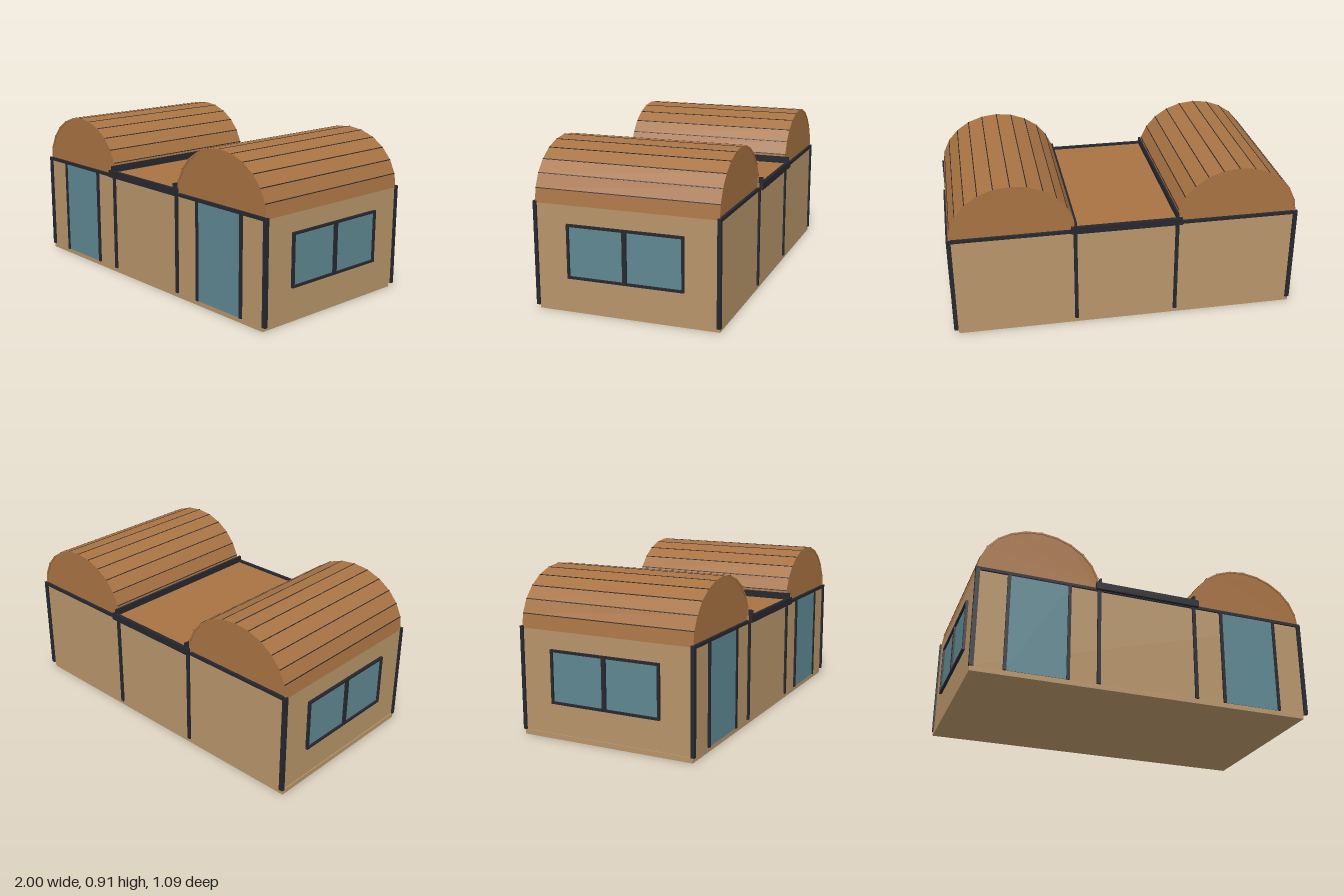
import * as THREE from 'three';

const mat = (name, color) => {
  const m = new THREE.MeshStandardMaterial({ color });
  m.name = name;
  return m;
};

export function createModel() {
  const wall = mat('tan wall', 0xb8956a);
  const wood = mat('brown roof wood', 0xa87343);
  const glass = mat('blue glass', 0x5f8892);
  const dark = mat('dark trim', 0x27282f);

  const model = new THREE.Group();
  model.name = 'vaultedCabin';

  // box given by its min and max corners
  const box = (name, material, [x0, y0, z0], [x1, y1, z1], parent = model) => {
    const mesh = new THREE.Mesh(new THREE.BoxGeometry(x1 - x0, y1 - y0, z1 - z0), material);
    mesh.position.set((x0 + x1) / 2, (y0 + y1) / 2, (z0 + z1) / 2);
    mesh.name = name;
    parent.add(mesh);
    return mesh;
  };

  // floor slab and walls
  box('floorSlab', wall, [-0.99, 0, -0.515], [0.968, 0.028, 0.515]);
  box('walls', wall, [-0.985, 0.028, -0.515], [0.985, 0.6, 0.515]);

  // posts and top beam on the front and the back
  for (const s of [1, -1]) {
    const z0 = s > 0 ? 0.505 : -0.525;
    const z1 = z0 + 0.02;
    for (const x of [-0.982, -0.29, 0.29, 0.982]) {
      const w = Math.abs(x) > 0.9 ? 0.012 : 0.01;
      box('post', dark, [x - w, 0.028, z0], [x + w, 0.6, z1]);
    }
    box('topBeam', dark, [-0.994, 0.592, z0], [0.994, 0.61, z1]);
  }

  // glass doors on the front
  for (const s of [1, -1]) {
    const door = new THREE.Group();
    door.name = 'door';
    model.add(door);
    const c = s * 0.635;
    box('doorGlass', glass, [c - 0.172, 0.028, 0.512], [c + 0.172, 0.592, 0.519], door);
    for (const x of [c - 0.172, c + 0.172]) {
      box('doorJamb', dark, [x - 0.009, 0.028, 0.51], [x + 0.009, 0.592, 0.525], door);
    }
  }

  // double windows in both end walls
  for (const s of [1, -1]) {
    const win = new THREE.Group();
    win.name = 'window';
    model.add(win);
    const span = (a, b) => (s > 0 ? [a, b] : [-b, -a]);
    const [g0, g1] = span(0.982, 0.989);
    const [f0, f1] = span(0.98, 1);
    box('windowGlass', glass, [g0, 0.205, -0.325], [g1, 0.495, 0.325], win);
    for (const y of [0.2, 0.487]) box('windowRail', dark, [f0, y, -0.33], [f1, y + 0.013, 0.33], win);
    for (const z of [-0.3235, 0, 0.3235]) {
      const w = z === 0 ? 0.012 : 0.0065;
      box('windowStile', dark, [f0, 0.2, z - w], [f1, 0.5, z + w], win);
    }
  }

  // barrel roofs: elliptical arc of twelve flat planks
  const arc = (rx, ry) => Array.from({ length: 13 }, (_, i) => {
    const a = (i / 12) * Math.PI;
    return new THREE.Vector2(rx * Math.cos(a), ry * Math.sin(a));
  });
  const extrude = (name, points, halfDepth, parent) => {
    const g = new THREE.ExtrudeGeometry(new THREE.Shape(points), { depth: halfDepth * 2, bevelEnabled: false });
    g.translate(0, 0, -halfDepth);
    const mesh = new THREE.Mesh(g, wood);
    mesh.name = name;
    parent.add(mesh);
  };
  const outer = arc(0.35, 0.305);
  for (const s of [1, -1]) {
    const vault = new THREE.Group();
    vault.name = 'barrelRoof';
    vault.position.set(s * 0.635, 0.6, 0);
    model.add(vault);
    extrude('roofPlanks', [...outer, ...arc(0.34, 0.295).reverse()], 0.515, vault);
    extrude('roofGable', arc(0.342, 0.297), 0.51, vault);
    // dark seams between the planks
    for (let i = 1; i < 12; i++) {
      const seam = new THREE.Mesh(new THREE.BoxGeometry(0.005, 0.004, 1.03), dark);
      const t = outer[i + 1].clone().sub(outer[i - 1]);
      seam.position.set(outer[i].x, outer[i].y - 0.001, 0);
      seam.rotation.z = Math.atan2(t.y, t.x);
      seam.name = 'roofSeam';
      vault.add(seam);
    }
  }

  // flat middle roof with its edge boards and gutters
  box('flatRoof', wood, [-0.285, 0.6, -0.53], [0.285, 0.626, 0.53]);
  for (const s of [1, -1]) {
    const z = s * 0.535;
    box('edgeBoard', dark, [-0.313, 0.597, z - 0.01], [0.313, 0.638, z + 0.01]);
    const x = s * 0.288;
    box('flashing', dark, [x - 0.006, 0.6, -0.54], [x + 0.006, 0.665, 0.54]);
    const g = s * 0.303;
    box('gutter', wood, [g - 0.009, 0.6, -0.53], [g + 0.009, 0.632, 0.53]);
  }

  return model;
}
